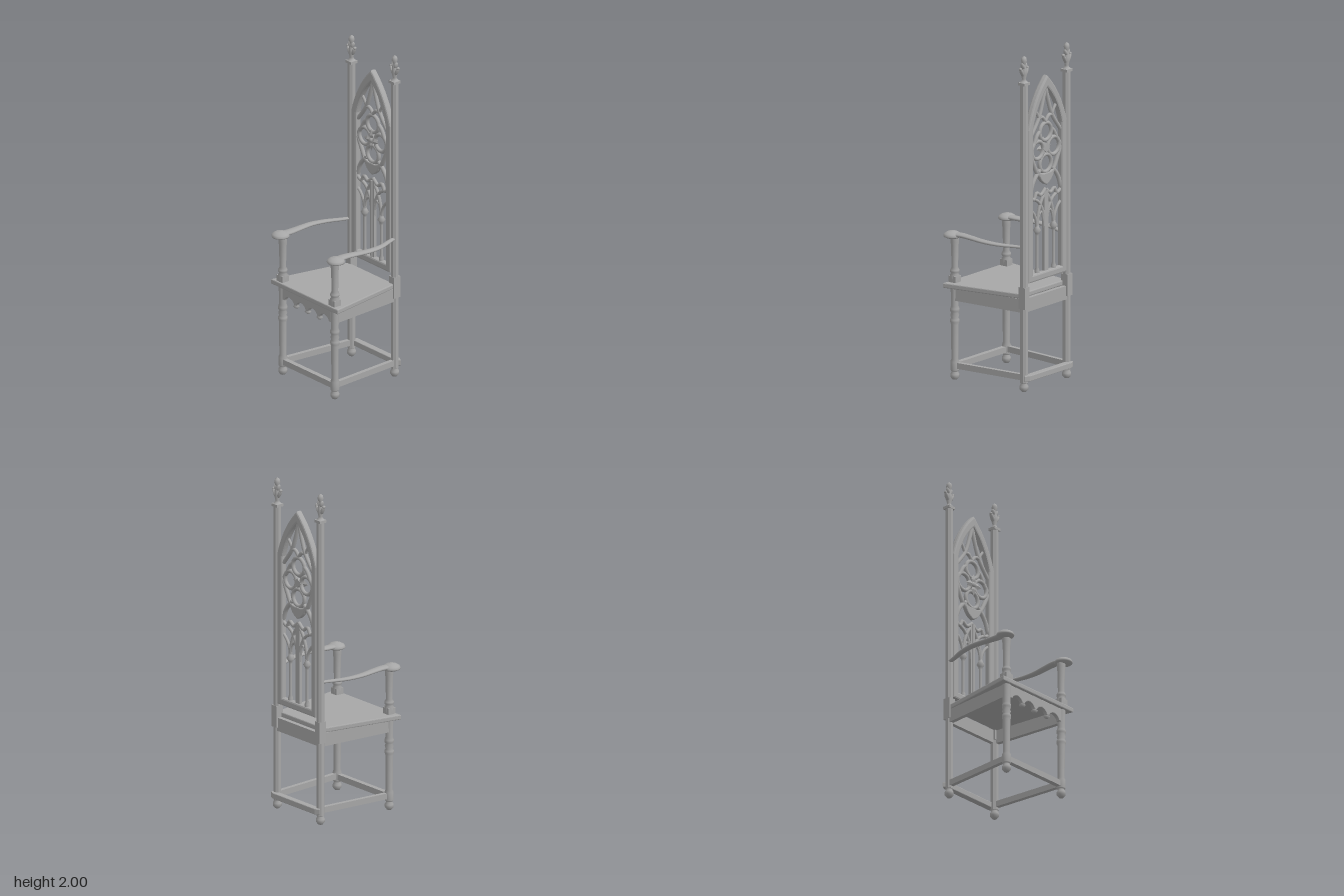
import * as THREE from 'three';
import { ParametricGeometry } from 'three/addons/geometries/ParametricGeometry.js';

const wood = new THREE.MeshStandardMaterial({ color: 0xa6a6a6 });
wood.name = 'grey wood';

const V = (x, y, z = 0) => new THREE.Vector3(x, y, z);
const BACK_Z = -0.248;

export function createModel() {
  const model = new THREE.Group();
  model.name = 'highBackArmchair';

  const add = (name, geo, x = 0, y = 0, z = 0, parent = model) => {
    const m = new THREE.Mesh(geo, wood);
    m.name = name;
    m.position.set(x, y, z);
    parent.add(m);
    return m;
  };
  const box = (name, w, h, d, x, y, z, parent) => add(name, new THREE.BoxGeometry(w, h, d), x, y, z, parent);
  const lathe = (pts, seg = 16) => new THREE.LatheGeometry(pts.map(p => new THREE.Vector2(p[0], p[1])), seg);
  // straight rectangular rail between two points
  const rail = (name, a, b, w, h) => {
    const m = box(name, w, h, a.distanceTo(b), 0, 0, 0);
    m.position.copy(a).lerp(b, 0.5);
    m.lookAt(b);
  };
  // extruded shape whose bevel stays inside the outline, centred on z
  const plate = (shape, depth, bevel) => {
    const g = new THREE.ExtrudeGeometry(shape, {
      depth: depth - 2 * bevel, bevelEnabled: true, bevelThickness: bevel, bevelSize: bevel,
      bevelOffset: -bevel, bevelSegments: 2, curveSegments: 12,
    });
    return g.translate(0, 0, bevel - depth / 2);
  };

  // seat board, narrower at the back
  const seat = new THREE.Shape([[-0.3, -0.265], [0.3, -0.265], [0.208, 0.235], [-0.208, 0.235]]
    .map(p => new THREE.Vector2(...p)));
  add('seat', plate(seat, 0.03, 0.006).rotateX(-Math.PI / 2), 0, 0.568, 0);

  // aprons and stretchers
  for (const s of [-1, 1]) {
    rail('sideApron', V(s * 0.24, 0.515, 0.23), V(s * 0.195, 0.512, -0.245), 0.025, 0.08);
    rail('sideStretcher', V(s * 0.235, 0.088, 0.23), V(s * 0.195, 0.088, -0.25), 0.025, 0.035);
  }
  box('backApron', 0.38, 0.08, 0.025, 0, 0.515, -0.25);
  box('frontStretcher', 0.47, 0.035, 0.03, 0, 0.085, 0.23);
  const backStretcher = new THREE.Shape([[-0.22, 0.275], [-0.19, 0.29], [0.19, 0.29], [0.22, 0.275], [0.2, 0.25], [-0.2, 0.25]]
    .map(p => new THREE.Vector2(...p)).reverse());
  add('backStretcher', plate(backStretcher, 0.035, 0.004).rotateX(-Math.PI / 2), 0, 0.085, 0);

  // scalloped front apron with small pendants
  const scallop = new THREE.Shape();
  scallop.moveTo(0.22, 0.555);
  scallop.lineTo(-0.22, 0.555);
  scallop.lineTo(-0.22, 0.475);
  for (let i = 0; i < 4; i++) {
    const x = -0.21 + i * 0.105;
    scallop.lineTo(x + 0.01, 0.475);
    scallop.quadraticCurveTo(x + 0.018, 0.5, x + 0.0525, 0.506);
    scallop.quadraticCurveTo(x + 0.087, 0.5, x + 0.095, 0.475);
  }
  scallop.lineTo(0.22, 0.475);
  add('frontApron', plate(scallop, 0.024, 0.004), 0, 0, 0.235);
  for (const x of [-0.105, 0, 0.105])
    add('apronPendant', lathe([[0, -0.014], [0.008, -0.012], [0.02, 0], [0.01, 0.009], [0.009, 0.02]], 10), x, 0.468, 0.235);

  // turned front legs, arm posts, back posts and finials
  const foot = [[0, 0.002], [0.014, 0.003], [0.026, 0.018], [0.026, 0.035], [0.018, 0.05], [0.022, 0.055]];
  const frontLeg = [...foot, [0.026, 0.06], [0.026, 0.11], [0.02, 0.125], [0.022, 0.33], [0.027, 0.345], [0.027, 0.36],
    [0.021, 0.37], [0.026, 0.385], [0.021, 0.4], [0.027, 0.41], [0.027, 0.425], [0.022, 0.44], [0.024, 0.555]];
  const armPost = [[0.026, 0.58], [0.028, 0.625], [0.02, 0.632], [0.027, 0.643], [0.027, 0.655],
    [0.019, 0.67], [0.022, 0.8], [0.025, 0.825], [0.025, 0.85]];
  const finial = [[0.024, 0], [0.015, 0.008], [0.011, 0.02], [0.018, 0.045], [0.017, 0.07], [0.011, 0.1],
    [0.012, 0.112], [0.018, 0.128], [0.014, 0.146], [0, 0.157]];

  for (const s of [-1, 1]) {
    add('frontLeg', lathe(frontLeg), s * 0.235, 0, 0.23);
    add('armPost', lathe(armPost), s * 0.235, 0, 0.23);
    box('armPostBase', 0.052, 0.04, 0.05, s * 0.235, 0.6, 0.23);

    const x = s * 0.195;
    add('backFoot', lathe(foot), x, 0, BACK_Z);
    const post = new THREE.CylinderGeometry(0.0235, 0.0235, 1.785, 8).toNonIndexed();
    post.rotateY(Math.PI / 8).computeVertexNormals();
    add('backPost', post, x, 0.9475, BACK_Z);
    box('postBlock', 0.044, 0.13, 0.048, x, 0.56, BACK_Z);
    box('postCap', 0.05, 0.016, 0.048, x, 1.834, BACK_Z);

    const top = new THREE.Group();
    top.name = 'finial';
    top.position.set(x, 1.843, BACK_Z);
    model.add(top);
    add('finialCore', lathe(finial, 12), 0, 0, 0, top);
    for (const t of [-1, 1]) {
      for (const [lx, ly, len, tilt] of [[0.02, 0.06, 0.032, 0.45], [0.011, 0.095, 0.022, 0.3]]) {
        const leaf = add('finialLeaf', new THREE.SphereGeometry(1, 10, 8), t * lx, ly, 0, top);
        leaf.scale.set(0.009, len, 0.014);
        leaf.rotation.z = -t * tilt;
      }
      const tip = add('finialLeafTip', new THREE.SphereGeometry(0.009, 8, 6), t * 0.031, 0.083, 0, top);
      tip.scale.z = 1.2;
    }

    // bowed arm, flat oval in section and widening to the front
    const path = new THREE.CatmullRomCurve3([V(0.197, 0.86, -0.245), V(0.215, 0.86, -0.19), V(0.248, 0.862, -0.1),
      V(0.261, 0.866, 0), V(0.25, 0.869, 0.1), V(0.243, 0.87, 0.17), V(0.248, 0.868, 0.24)]);
    const arm = new ParametricGeometry((u, v, out) => {
      const p = path.getPoint(v), a = u * Math.PI * 2;
      out.set(s * p.x + (0.013 + 0.019 * v) * Math.cos(a), p.y + (0.008 + 0.006 * v) * Math.sin(a), p.z);
    }, 14, 28);
    add('arm', arm);
    add('armKnob', lathe([[0, 0.845], [0.03, 0.846], [0.05, 0.855], [0.053, 0.862], [0.047, 0.874], [0.028, 0.885], [0, 0.889]], 24),
      s * 0.25, 0, 0.235);
  }

  // pointed back frame
  const back = new THREE.Group();
  back.name = 'backPanel';
  back.position.z = BACK_Z;
  model.add(back);
  const lancet = (path, w, y0, spring, cx, cy, apex) => {
    path.moveTo(-w, y0);
    path.lineTo(w, y0);
    path.lineTo(w, spring);
    path.quadraticCurveTo(cx, cy, 0, apex);
    path.quadraticCurveTo(-cx, cy, -w, spring);
    path.lineTo(-w, y0);
    return path;
  };
  const frame = lancet(new THREE.Shape(), 0.176, 0.64, 1.55, 0.125, 1.73, 1.846);
  frame.holes.push(lancet(new THREE.Path(), 0.132, 0.685, 1.54, 0.098, 1.68, 1.775));
  add('backFrame', plate(frame, 0.04, 0.01), 0, 0, 0, back);

  // tracery bars, each drawn on both sides
  const bar = (pts, r) => {
    for (const s of [-1, 1]) {
      const curve = new THREE.CatmullRomCurve3(pts.map(p => V(s * p[0], p[1])));
      add('traceryBar', new THREE.TubeGeometry(curve, 16, r, 8), 0, 0, 0, back);
    }
  };
  bar([[0, 1.78], [0.025, 1.69], [0.06, 1.6], [0.135, 1.5]], 0.012);          // upper gable
  bar([[0.1, 1.66], [0.075, 1.63], [0.06, 1.6]], 0.009);
  bar([[0, 1.57], [0.03, 1.6], [0.06, 1.6]], 0.011);
  bar([[0.05, 1.52], [0.075, 1.5], [0.105, 1.45], [0.138, 1.41]], 0.012);     // wheel sides
  bar([[0.138, 1.4], [0.11, 1.34], [0.07, 1.27], [0, 1.215]], 0.013);
  bar([[0.138, 1.16], [0.115, 1.22], [0.085, 1.26], [0.05, 1.29]], 0.013);    // lower cross
  bar([[0.138, 1.14], [0.105, 1.125], [0.08, 1.16], [0.045, 1.14], [0, 1.17]], 0.011);
  bar([[0.075, 0.94], [0.068, 1.02], [0.04, 1.1], [0, 1.155]], 0.01);         // interlaced arches
  bar([[0.01, 0.94], [0.02, 1.03], [0.06, 1.1], [0.1, 1.125]], 0.01);
  bar([[0.075, 0.94], [0.085, 1.0], [0.11, 1.045], [0.138, 1.07]], 0.009);
  bar([[0.016, 0.98], [0.035, 1.04], [0.055, 1.025], [0.072, 0.97]], 0.007);

  // ringed quatrefoil
  for (const [x, y] of [[0, 1.51], [0.072, 1.412], [-0.072, 1.412], [0, 1.322]])
    add('traceryRing', new THREE.TorusGeometry(0.052, 0.012, 8, 24), x, y, 0, back);
  const shield = new THREE.Shape();
  shield.moveTo(0, 1.195);
  shield.quadraticCurveTo(0.06, 1.215, 0.075, 1.29);
  shield.quadraticCurveTo(0.045, 1.26, 0, 1.268);
  shield.quadraticCurveTo(-0.045, 1.26, -0.075, 1.29);
  shield.quadraticCurveTo(-0.06, 1.215, 0, 1.195);
  add('traceryShield', plate(shield, 0.028, 0.006), 0, 0, 0, back);

  // four-petalled flower at the centre
  for (let i = 0; i < 4; i++) {
    const petal = new THREE.Group();
    petal.name = 'petal';
    petal.position.set(0, 1.412, 0.014);
    petal.rotation.z = i * Math.PI / 2;
    back.add(petal);
    add('petalBlade', new THREE.OctahedronGeometry(1).scale(0.02, 0.036, 0.01), 0, 0.031, 0, petal);
  }
  add('flowerHeart', new THREE.SphereGeometry(0.018, 12, 8), 0, 1.412, 0.01, back);
  box('flowerBacking', 0.04, 0.04, 0.024, 0, 1.412, 0, back).rotation.z = Math.PI / 4;

  // mullions with collars
  box('centreMullion', 0.036, 0.48, 0.02, 0, 0.92, 0, back);
  add('centreShaft', new THREE.CylinderGeometry(0.009, 0.009, 0.48, 8), 0, 0.92, 0.009, back);
  for (const s of [-1, 1])
    add('sideMullion', lathe([[0.014, 0.68], [0.014, 0.7], [0.009, 0.715], [0.009, 0.905], [0.013, 0.92],
      [0.024, 0.937], [0.013, 0.955], [0.008, 0.975]], 10), s * 0.075, 0, 0, back);

  return model;
}
